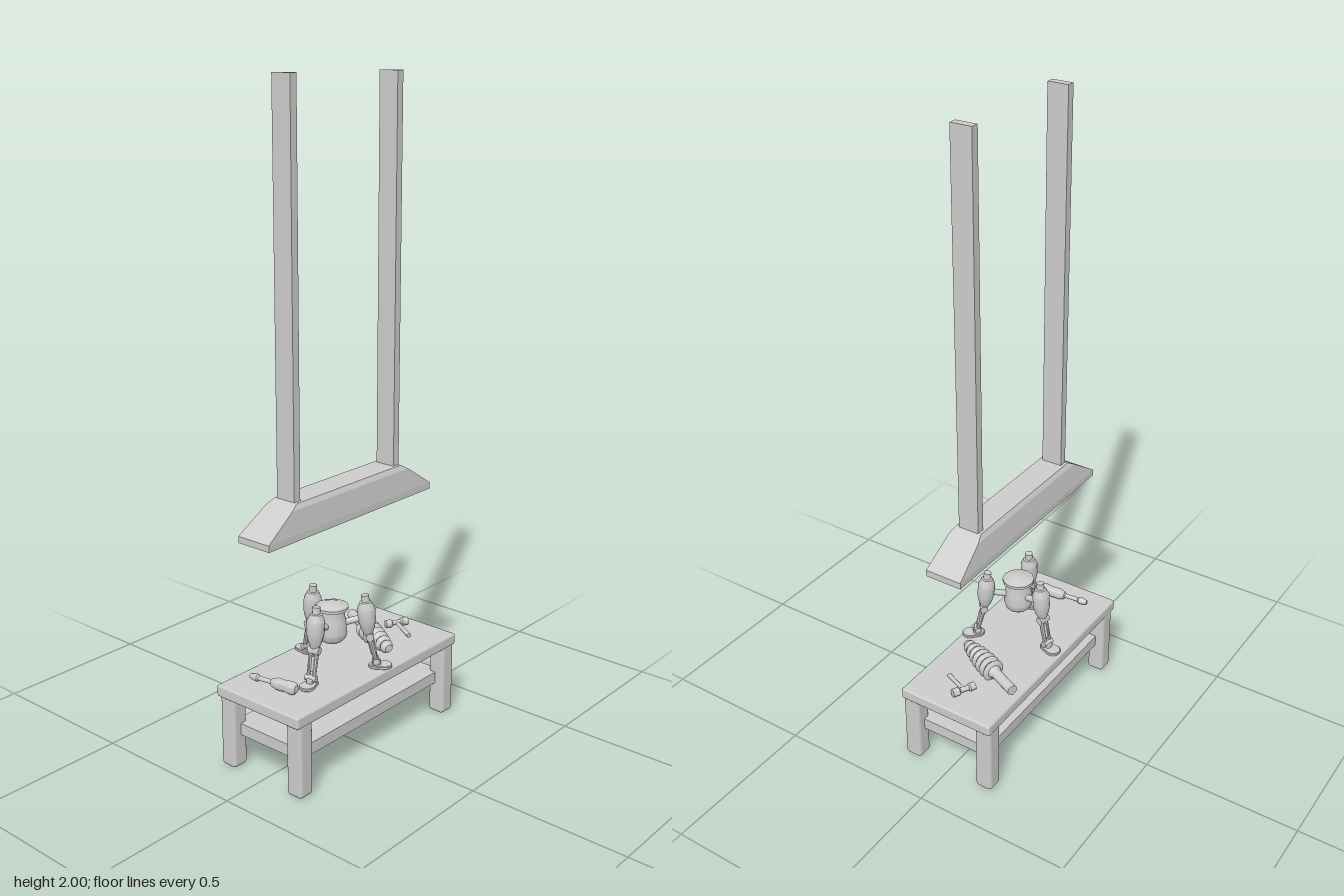
import * as THREE from 'three';
import { toCreasedNormals } from 'three/addons/utils/BufferGeometryUtils.js';
import { RoundedBoxGeometry } from 'three/addons/geometries/RoundedBoxGeometry.js';

const material = new THREE.MeshStandardMaterial({ color: 0xcccccc });
const V = (x, y, z) => new THREE.Vector3(x, y, z);
const UP = V(0, 1, 0);

function add(parent, name, geometry, x = 0, y = 0, z = 0) {
  const mesh = new THREE.Mesh(geometry, material);
  mesh.name = name;
  mesh.position.set(x, y, z);
  parent.add(mesh);
  return mesh;
}

// Box given by its limits on each axis, with rounded edges when r > 0
function block(parent, name, [x0, x1], [y0, y1], [z0, z1], r = 0) {
  const size = [x1 - x0, y1 - y0, z1 - z0];
  const geometry = r ? new RoundedBoxGeometry(...size, 2, r) : new THREE.BoxGeometry(...size);
  return add(parent, name, geometry, (x0 + x1) / 2, (y0 + y1) / 2, (z0 + z1) / 2);
}

// Turned shape from [radius, height] pairs
function turned(profile, sides = 16) {
  const points = profile.map(([r, h]) => new THREE.Vector2(r, h));
  return toCreasedNormals(new THREE.LatheGeometry(points, sides), 0.6);
}

// Turned shape whose axis runs from a towards b
function turnedAlong(parent, name, profile, a, b, sides) {
  const mesh = add(parent, name, turned(profile, sides), a.x, a.y, a.z);
  mesh.quaternion.setFromUnitVectors(UP, b.clone().sub(a).normalize());
  return mesh;
}

function rod(parent, name, a, b, r0, r1 = r0, sides = 12) {
  const l = a.distanceTo(b);
  return turnedAlong(parent, name, [[0, 0], [r0, 0], [r1, l], [0, l]], a, b, sides);
}

// Closed skin through rectangular rows [y, halfX, z0, z1]
function rectLoft(rows, cx) {
  const ring = ([y, hx, z0, z1]) =>
    [[cx - hx, y, z1], [cx + hx, y, z1], [cx + hx, y, z0], [cx - hx, y, z0]];
  const positions = [];
  for (let i = 0; i < rows.length - 1; i++) {
    const lo = ring(rows[i]), hi = ring(rows[i + 1]);
    for (let j = 0; j < 4; j++) {
      const k = (j + 1) % 4;
      for (const p of [lo[j], lo[k], hi[k], lo[j], hi[k], hi[j]]) positions.push(...p);
    }
  }
  const geometry = new THREE.BufferGeometry();
  geometry.setAttribute('position', new THREE.Float32BufferAttribute(positions, 3));
  geometry.computeVertexNormals();
  return geometry;
}

function createTable() {
  const table = new THREE.Group();
  table.name = 'table';
  block(table, 'tableTop', [-0.374, 0.372], [0.225, 0.262], [-0.163, 0.16], 0.007);
  block(table, 'lowerShelf', [-0.335, 0.335], [0.103, 0.14], [-0.132, 0.13]);
  for (const sx of [-1, 1]) for (const sz of [-1, 1]) {
    const leg = add(table, 'tableLeg', new RoundedBoxGeometry(0.056, 0.235, 0.056, 3, 0.012));
    leg.position.set(sx * 0.336, 0.1175, sz * 0.132);
  }
  return table;
}

function createLamp() {
  const lamp = new THREE.Group();
  lamp.name = 'hangingLamp';
  // Rows run from the recessed underside, round the rim, to the top
  add(lamp, 'lampHousing', rectLoft([
    [0.74, 0, -0.011, -0.011], [0.74, 0.35, -0.058, 0.035], [0.725, 0.353, -0.061, 0.038],
    [0.725, 0.366, -0.071, 0.047], [0.745, 0.366, -0.071, 0.047], [0.815, 0.262, -0.061, 0.04],
    [0.83, 0.236, -0.053, 0.032], [0.83, 0, -0.011, -0.011],
  ], 0.005));
  for (const x of [-0.217, 0.23]) {
    block(lamp, 'hangingBar', [x - 0.0125, x + 0.0125], [0.815, 2], [-0.044, 0.022]);
  }
  return lamp;
}

// Machine leg, pointing along +x from the body axis
function createMachineLeg() {
  const leg = new THREE.Group();
  leg.name = 'machineLeg';
  rod(leg, 'hipArm', V(0.02, 0.405, 0), V(0.095, 0.425, 0), 0.01);
  turnedAlong(leg, 'thigh', [[0, 0], [0.013, 0], [0.021, 0.02], [0.027, 0.045], [0.027, 0.085],
    [0.018, 0.105], [0.012, 0.107], [0.012, 0.127], [0, 0.127]], V(0.108, 0.37, 0), V(0.098, 0.49, 0), 12);
  const knee = V(0.112, 0.365, 0), ankle = V(0.132, 0.285, 0);
  for (const z of [-0.009, 0.009]) {
    rod(leg, 'shinBar', knee.clone().setZ(z), ankle.clone().setZ(z), 0.0075, 0.0065, 8);
  }
  for (const [name, p, r] of [['kneeJoint', knee, 0.012], ['ankleJoint', ankle, 0.01]]) {
    rod(leg, name, p.clone().setZ(-0.018), p.clone().setZ(0.018), r);
  }
  rod(leg, 'shinBrace', V(0.116, 0.35, 0), V(0.126, 0.305, 0), 0.011, 0.009, 8);

  // Foot plate with rounded ends and a raised block under the ankle
  const w = 0.022, half = 0.014;
  const shape = new THREE.Shape();
  shape.absarc(half, 0, w, -Math.PI / 2, Math.PI / 2);
  shape.absarc(-half, 0, w * 0.8, Math.PI / 2, Math.PI * 1.5);
  const plate = new THREE.ExtrudeGeometry(shape, {
    depth: 0.006, bevelEnabled: true, bevelSize: 0.002, bevelThickness: 0.002, bevelSegments: 1, curveSegments: 10,
  });
  plate.rotateX(-Math.PI / 2);
  add(leg, 'footPlate', plate, 0.143, 0.264, 0);
  block(leg, 'footBlock', [0.12, 0.146], [0.268, 0.286], [-0.01, 0.01], 0.003);
  return leg;
}

function createMachine() {
  const machine = new THREE.Group();
  machine.name = 'threeLeggedMachine';
  machine.position.set(-0.066, 0, 0.02);
  add(machine, 'machineBody', turned([[0, 0.352], [0.03, 0.352], [0.041, 0.362], [0.046, 0.38],
    [0.042, 0.42], [0.037, 0.442], [0.037, 0.45], [0.05, 0.455], [0.05, 0.464], [0.03, 0.47],
    [0.015, 0.476], [0, 0.476]], 12));
  for (const degrees of [48, 167, 283]) {
    const leg = createMachineLeg();
    leg.rotation.y = -THREE.MathUtils.degToRad(degrees);
    machine.add(leg);
  }
  return machine;
}

// Cone drill: rings growing from the tip, then a plain shaft
function createDrill() {
  const profile = [[0, 0], [0.012, 0]];
  const rings = 7, step = 0.024;
  for (let i = 0; i < rings; i++) {
    const r = 0.021 + 0.016 * Math.sin((i / (rings - 1)) * Math.PI * 0.6);
    const h = i * step;
    profile.push([r * 0.68, h + 0.003], [r, h + step * 0.72], [r * 0.9, h + step * 0.85]);
  }
  const end = rings * step;
  profile.push([0.022, end], [0.0165, end + 0.01], [0.0165, 0.273], [0, 0.273]);
  const drill = new THREE.Group();
  drill.name = 'coneDrill';
  turnedAlong(drill, 'drillBody', profile, V(0.107, 0.285, 0.1), V(0.222, 0.291, -0.145), 14);
  return drill;
}

function createHammer() {
  const hammer = new THREE.Group();
  hammer.name = 'hammer';
  rod(hammer, 'hammerHandle', V(0.248, 0.27, 0.068), V(0.287, 0.277, -0.012), 0.007, 0.006);
  turnedAlong(hammer, 'hammerHead', [[0, 0], [0.012, 0], [0.013, 0.018], [0.008, 0.022], [0.008, 0.05],
    [0.013, 0.055], [0.013, 0.075], [0, 0.075]], V(0.253, 0.278, -0.03), V(0.32, 0.278, 0.005));
  return hammer;
}

function createScrewdriver() {
  const driver = new THREE.Group();
  driver.name = 'screwdriver';
  turnedAlong(driver, 'screwdriverHandle', [[0, 0], [0.011, 0.002], [0.018, 0.01], [0.02, 0.022],
    [0.017, 0.04], [0.018, 0.07], [0.012, 0.09], [0.007, 0.093], [0.007, 0.138], [0.011, 0.143],
    [0.011, 0.155], [0.007, 0.17], [0, 0.17]], V(-0.273, 0.283, 0.066), V(-0.291, 0.279, -0.105), 12);
  return driver;
}

export function createModel() {
  const model = new THREE.Group();
  model.name = 'workbenchWithLamp';
  model.add(createTable(), createLamp(), createMachine(), createDrill(), createHammer(), createScrewdriver());
  return model;
}
